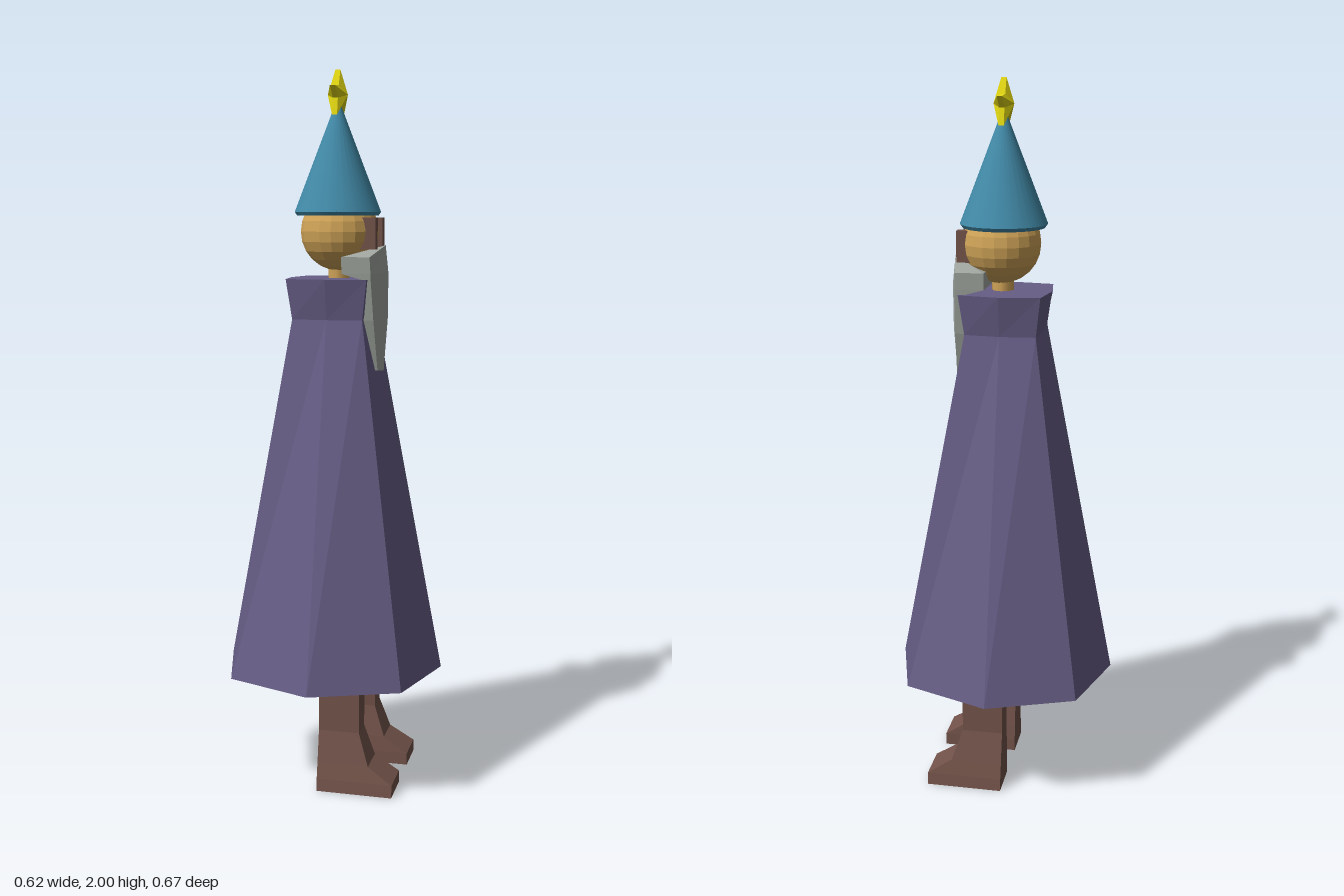
import * as THREE from 'three';

const mat = (name, color) => {
  const m = new THREE.MeshStandardMaterial({ color });
  m.name = name;
  return m;
};

// Closed, flat-faced skin over rings of [x, y, z], listed upward, anticlockwise from above.
function loft(rings) {
  const n = rings[0].length, p = [];
  const tri = (a, b, c) => p.push(...a, ...b, ...c);
  for (let r = 0; r < rings.length - 1; r++) {
    const a = rings[r], b = rings[r + 1];
    for (let i = 0; i < n; i++) {
      const j = (i + 1) % n;
      tri(a[i], a[j], b[j]);
      tri(a[i], b[j], b[i]);
    }
  }
  const lo = rings[0], hi = rings[rings.length - 1];
  for (let i = 1; i < n - 1; i++) {
    tri(lo[0], lo[i + 1], lo[i]);
    tri(hi[0], hi[i], hi[i + 1]);
  }
  const g = new THREE.BufferGeometry();
  g.setAttribute('position', new THREE.Float32BufferAttribute(p, 3));
  g.computeVertexNormals();
  return g;
}

export function createModel() {
  const model = new THREE.Group();
  model.name = 'wizard';
  const purple = mat('robe purple', 0x675e86);
  const blue = mat('hat blue', 0x428aa8);
  const skin = mat('skin', 0xd0a458);
  const brown = mat('boot brown', 0x72534a);
  const grey = mat('beard grey', 0xa0a69f);
  const yellow = mat('star yellow', 0xe4d912);

  const add = (name, geometry, material, x = 0, y = 0, z = 0) => {
    const mesh = new THREE.Mesh(geometry, material);
    mesh.name = name;
    mesh.position.set(x, y, z);
    model.add(mesh);
    return mesh;
  };

  // Eight-sided robe with a flared collar: [y, x reach, z reach, corner]
  const robe = [
    [0.34, 0.31, 0.333, 0.24],
    [1.33, 0.105, 0.107, 0.098],
    [1.44, 0.128, 0.127, 0.112],
  ].map(([y, x, z, c]) => [
    [x, y, 0], [c, y, -c], [0, y, -z], [-c, y, -c],
    [-x, y, 0], [-c, y, c], [0, y, z], [c, y, c],
  ]);
  add('robe', loft(robe), purple);

  // Boots: [y, toe x, inner z, outer z]
  const boot = [
    [0, 0.2, 0.05, 0.164],
    [0.035, 0.2, 0.05, 0.16],
    [0.08, 0.13, 0.053, 0.15],
    [0.17, 0.1, 0.063, 0.132],
    [0.42, 0.1, 0.05, 0.132],
  ];
  for (const [name, s, shift] of [['rightBoot', 1, 0], ['leftBoot', -1, 0.024]]) {
    const rings = boot.map(([y, toe, a, b]) => {
      const z1 = s * (a + shift), z2 = s * (b + shift);
      const near = Math.max(z1, z2), far = Math.min(z1, z2);
      return [[-0.016, y, near], [toe, y, near], [toe, y, far], [-0.016, y, far]];
    });
    add(name, loft(rings), brown);
  }

  // Neck and faceted head
  add('neck', new THREE.CylinderGeometry(0.03, 0.03, 0.1, 8), skin, 0.01, 1.45, 0);
  const ball = new THREE.SphereGeometry(0.108, 20, 12).toNonIndexed();
  ball.computeVertexNormals();
  add('head', ball, skin, 0.013, 1.567, 0);

  // Eyes
  for (const z of [-0.044, 0.049]) {
    add('eye', new THREE.BoxGeometry(0.045, 0.085, 0.03), brown, 0.104, 1.562, z);
  }

  // Beard: [y, middle y, back x, edge x, middle x, half width]
  const beard = [
    [1.19, 1.185, 0.122, 0.13, 0.138, 0.045],
    [1.33, 1.33, 0.093, 0.126, 0.149, 0.085],
    [1.44, 1.44, 0.095, 0.122, 0.15, 0.103],
    [1.455, 1.455, 0.042, 0.122, 0.15, 0.105],
    [1.5, 1.53, 0.042, 0.12, 0.142, 0.109],
  ].map(([y, my, back, edge, mid, w]) => [
    [mid, my, 0], [edge, y, -w], [back, y, -w], [back, y, w], [edge, y, w],
  ]);
  add('beard', loft(beard), grey);

  // Pointed hat with a thin rim
  const hat = new THREE.CylinderGeometry(0.003, 0.119, 0.3, 32);
  add('hat', hat, blue, 0.007, 1.77, 0);
  add('hatRim', new THREE.CylinderGeometry(0.119, 0.112, 0.01, 32), blue, 0.007, 1.615, 0);

  // Five-pointed star, raised in the middle on both sides
  const star = [[-0.028, 0.001], [-0.007, 1], [0.007, 1], [0.028, 0.001]].map(([y, k]) =>
    Array.from({ length: 10 }, (_, i) => {
      const a = Math.PI + (i * Math.PI) / 5;
      const r = k * (i % 2 ? 0.031 : 0.067);
      return [r * Math.cos(a), y, -r * Math.sin(a)];
    }));
  add('star', loft(star).rotateZ(-Math.PI / 2), yellow, 0.007, 1.933, 0);

  return model;
}
